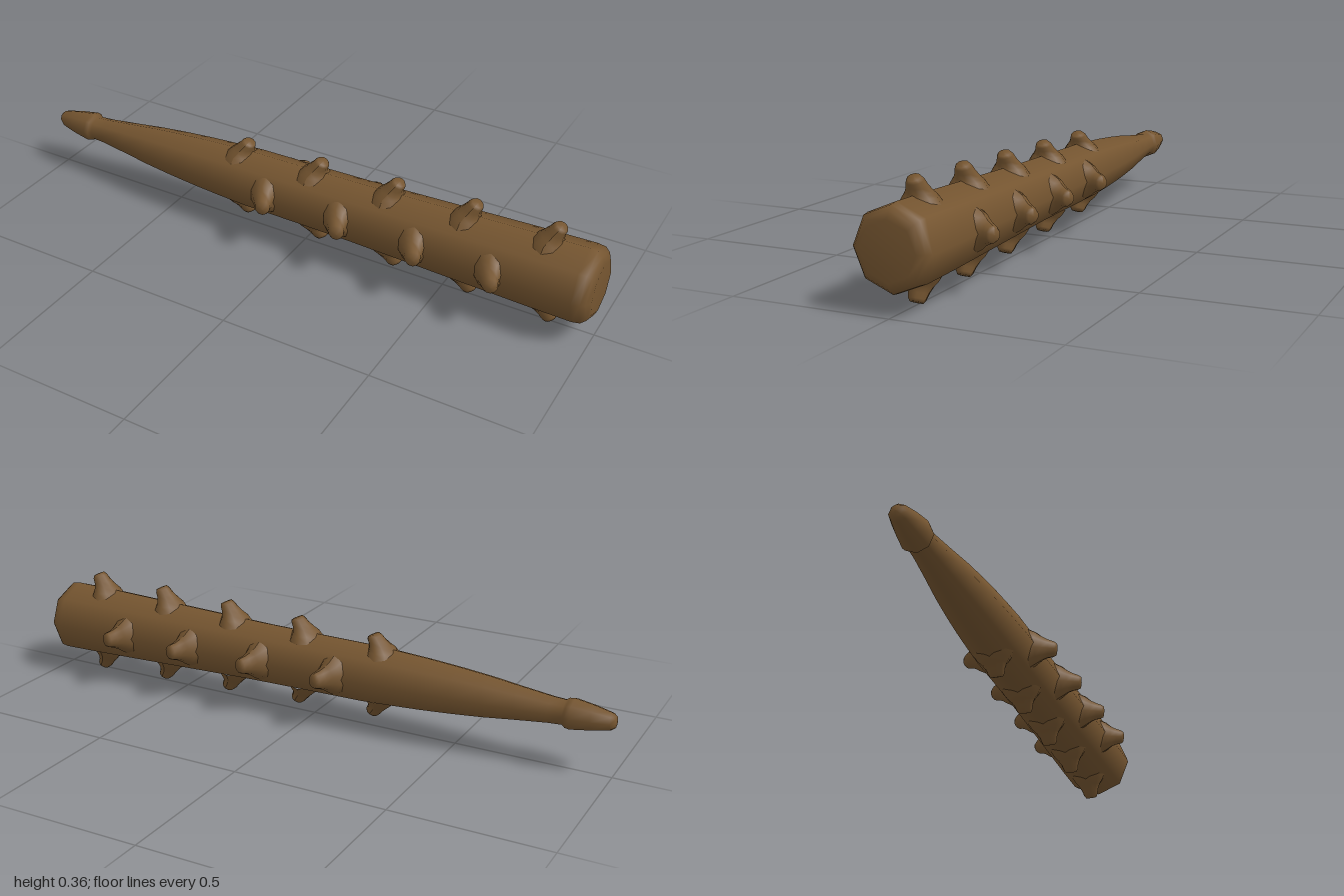
import * as THREE from 'three';

const wood = new THREE.MeshStandardMaterial({ color: 0x755530, roughness: 0.9 });
const AXIS_Y = 0.175;

// Tapered eight-sided shaft: [x along club, radius]
const shaftProfile = [
  [-1, 0], [-0.998, 0.018], [-0.985, 0.028], [-0.93, 0.041], [-0.87, 0.051], [-0.855, 0.049],
  [-0.845, 0.041], [-0.8, 0.044], [-0.7, 0.056], [-0.6, 0.069], [-0.5, 0.079], [-0.4, 0.087],
  [-0.3, 0.093], [-0.2, 0.098], [0, 0.1], [0.2, 0.103], [0.4, 0.109], [0.6, 0.115], [0.8, 0.121],
  [0.95, 0.124], [0.975, 0.12], [0.99, 0.107], [1, 0.085], [1, 0],
];

function createShaft() {
  const geometry = new THREE.LatheGeometry(shaftProfile.map(([x, r]) => new THREE.Vector2(r, x)), 8);
  geometry.rotateZ(-Math.PI / 2);
  const mesh = new THREE.Mesh(geometry, wood);
  mesh.name = 'shaft';
  return mesh;
}

// Blunt thorn rising along +y, leaning to +x, with a flared root and tilted tip
function createThornGeometry(rootRadius, tipRadius) {
  const height = tipRadius - rootRadius;
  const profile = [
    [0.066, -0.3], [0.052, 0.08], [0.04, 0.3], [0.031, 0.55], [0.026, 0.8], [0.02, 0.93], [0, 0.95],
  ].map(([r, t]) => new THREE.Vector2(r, t * height));
  const geometry = new THREE.LatheGeometry(profile, 10);
  const p = geometry.attributes.position;
  for (let i = 0; i < p.count; i++) {
    const x = p.getX(i), y = p.getY(i);
    const t = Math.max(0, y / height);
    p.setX(i, x * 0.85 + 0.038 * t);
    p.setY(i, rootRadius + y - 0.45 * x * t);
  }
  geometry.computeVertexNormals();
  return geometry;
}

export function createModel() {
  const club = new THREE.Group();
  club.name = 'spikedClub';
  const body = new THREE.Group();
  body.name = 'clubBody';
  body.position.y = AXIS_Y;
  body.add(createShaft());

  // Staggered thorn rows: upper and lower, then front and back
  const rows = [
    { angles: [0, Math.PI], xs: [-0.245, 0.03, 0.3, 0.56, 0.825], tips: [0.137, 0.147, 0.157, 0.166, 0.175] },
    { angles: [Math.PI / 2, -Math.PI / 2], xs: [-0.108, 0.163, 0.43, 0.685], tips: [0.155, 0.157, 0.163, 0.169] },
  ];
  for (const { angles, xs, tips } of rows) {
    xs.forEach((x, i) => {
      const root = 0.1 + Math.max(0, x) * 0.022 - (x < -0.2 ? 0.008 : 0);
      const geometry = createThornGeometry(root - 0.008, tips[i]);
      for (const angle of angles) {
        const thorn = new THREE.Mesh(geometry, wood);
        thorn.name = 'thorn';
        thorn.position.x = x;
        thorn.rotation.x = angle;
        body.add(thorn);
      }
    });
  }
  club.add(body);
  return club;
}
